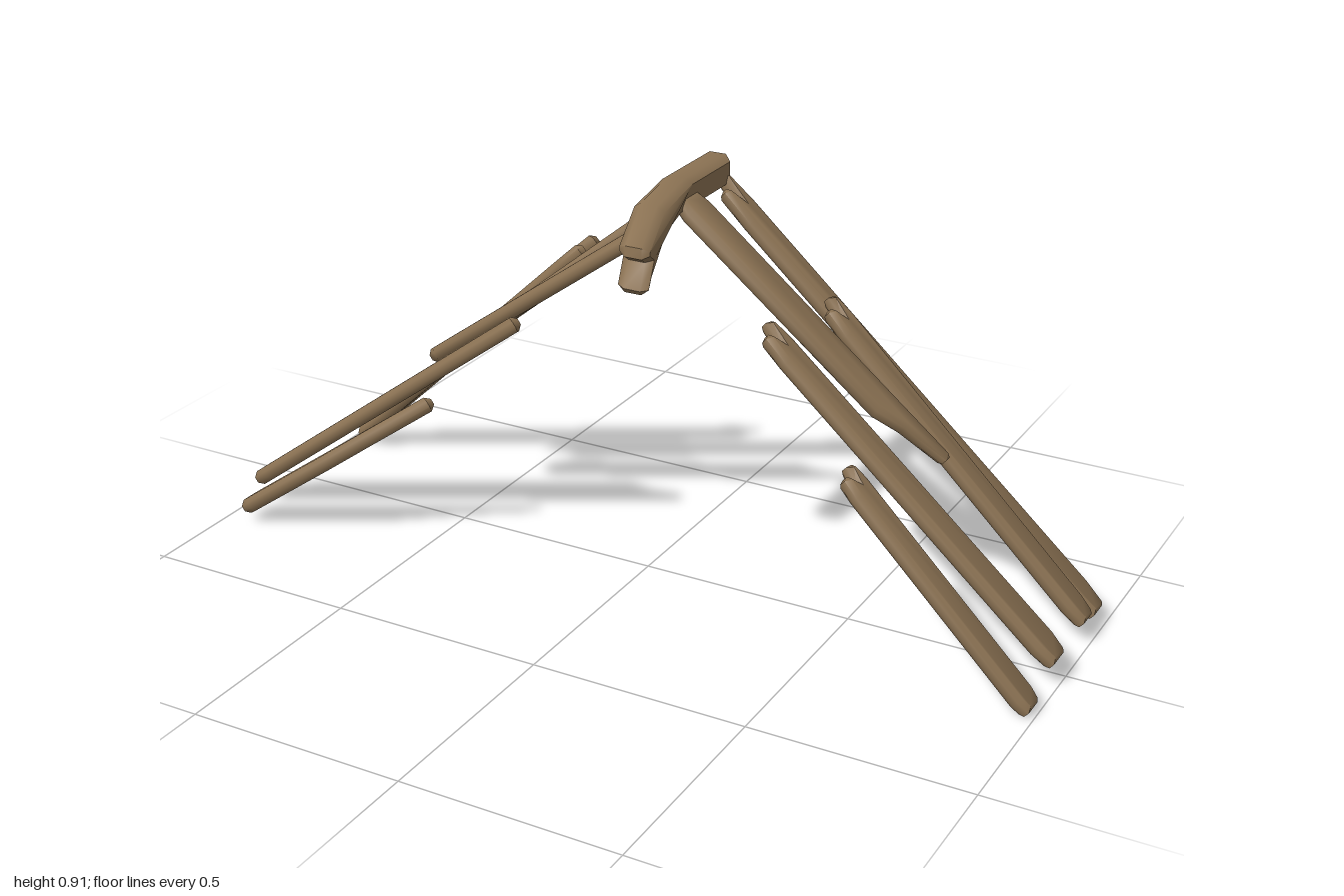
import * as THREE from 'three';
import { toCreasedNormals } from 'three/addons/utils/BufferGeometryUtils.js';

const wood = new THREE.MeshStandardMaterial({ color: 0x8b7253 });
wood.name = 'weathered wood';
const { lerp } = THREE.MathUtils;

// Chamfered slab from an outline, centred on its thickness
function slab(points, thickness, bevelSize, bevelThickness) {
  const shape = new THREE.Shape(points.map(([x, y]) => new THREE.Vector2(x, y)));
  const depth = thickness - 2 * bevelThickness;
  const geo = new THREE.ExtrudeGeometry(shape, {
    depth, bevelEnabled: true, bevelSegments: 1, bevelSize, bevelThickness, bevelOffset: -bevelSize,
  });
  return geo.translate(0, 0, -depth / 2);
}

// Broken ends as [along, across] fractions: a notched end, and a long one-sided taper
const split = [[0.93, 0], [0.995, 0.1], [1, 0.4], [0.94, 0.52], [0.975, 0.68], [0.97, 0.92], [0.9, 1]];
const splinter = (from) => [[from, 0], [lerp(from, 1, 0.37), 0.4], [1, 0.78], [1, 1]];

// Sloping rafter from a sawn start to a broken end; each end is [x, y, zA, zB]
function rafter(name, start, end, tip, corner = 0.13) {
  const [x0, y0, a0, b0] = start;
  const [x1, y1, a1, b1] = end;
  const length = Math.hypot(x1 - x0, y1 - y0);
  const sawn = [[0.05, 1], [0, 1 - corner], [0, corner], [0.05, 0]];
  const outline = [...sawn, ...tip].map(([s, w]) =>
    [s * length, -lerp(lerp(a0, a1, s), lerp(b0, b1, s), w)]);
  const geo = slab(outline, 0.036, 0.009, 0.011).rotateX(-Math.PI / 2);
  geo.rotateZ(Math.atan2(y1 - y0, x1 - x0)).translate(x0, y0, 0);
  const mesh = new THREE.Mesh(toCreasedNormals(geo, 1.0), wood);
  mesh.name = name;
  return mesh;
}

// Ridge beam: side profile as [z, y], drifting sideways towards its split front end
function ridgeBeam() {
  const profile = [
    [-0.28, 0.85], [-0.04, 0.85], [0.035, 0.83], [0.13, 0.768], [0.165, 0.745], [0.176, 0.757],
    [0.132, 0.805], [0.162, 0.822], [0.158, 0.845], [0.05, 0.902], [-0.09, 0.922], [-0.28, 0.922],
  ];
  const geo = slab(profile, 0.074, 0.012, 0.017).rotateY(-Math.PI / 2);
  const p = geo.attributes.position;
  for (let i = 0; i < p.count; i++) {
    const t = Math.max(0, (p.getZ(i) + 0.06) / 0.23);
    p.setX(i, p.getX(i) + 0.022 + 0.034 * t * t);
  }
  const mesh = new THREE.Mesh(toCreasedNormals(geo, 0.9), wood);
  mesh.name = 'ridgeBeam';
  return mesh;
}

export function createModel() {
  const model = new THREE.Group();
  model.name = 'brokenRoofFrame';
  model.add(ridgeBeam());

  // Left slope, back to front
  model.add(rafter('leftRafterFull', [0.98, 0.035, -0.28, -0.209], [0.04, 0.874, -0.28, -0.212], split));
  model.add(rafter('leftRafterBack', [0.98, 0.05, -0.204, -0.138], [0.335, 0.66, -0.225, -0.152], split));
  model.add(rafter('leftRafterUpper', [0.04, 0.878, -0.04, -0.131], [0.66, 0.377, -0.05, -0.132], splinter(0.78)));
  model.add(rafter('leftRafterMiddle', [0.985, 0.055, -0.015, 0.065], [0.275, 0.655, -0.04, 0.035], split));
  model.add(rafter('leftRafterFront', [0.985, 0.015, 0.135, 0.205], [0.53, 0.43, 0.092, 0.162], split));

  // Right slope, back to front
  model.add(rafter('rightRafterBack', [-0.96, 0.032, -0.278, -0.21], [-0.28, 0.67, -0.278, -0.21], split));
  model.add(rafter('rightRafterUpper', [0, 0.858, -0.136, -0.213], [-0.63, 0.345, -0.105, -0.18], splinter(0.87)));
  model.add(rafter('rightRafterMiddle', [-0.58, 0.405, -0.055, 0.023], [-0.01, 0.818, -0.062, 0.01], splinter(0.82), 0.33));
  model.add(rafter('rightRafterLong', [-0.985, 0.065, 0.098, 0.18], [-0.26, 0.602, 0.04, 0.136], splinter(0.84)));
  model.add(rafter('rightRafterFront', [-0.95, 0.04, 0.277, 0.205], [-0.47, 0.38, 0.235, 0.157], splinter(0.5)));
  return model;
}
